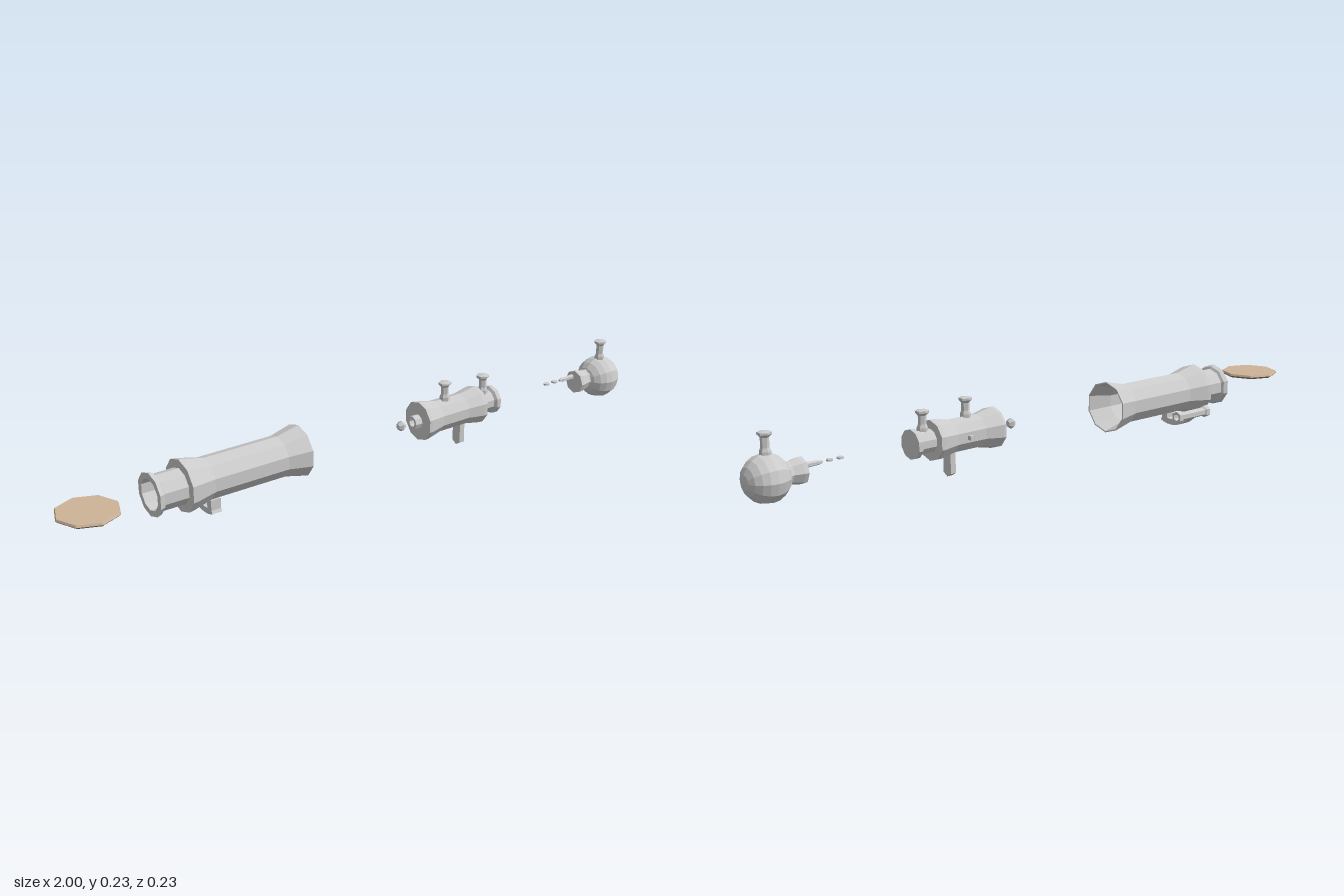
import * as THREE from 'three';

const grey = new THREE.MeshStandardMaterial({ color: 0xcccccc, flatShading: true, side: THREE.DoubleSide });
const tan = new THREE.MeshStandardMaterial({ color: 0xcdb398, flatShading: true });
const olive = new THREE.MeshStandardMaterial({ color: 0x8a8468, flatShading: true });
const black = new THREE.MeshStandardMaterial({ color: 0x222222, flatShading: true });

function add(parent, name, geometry, x, y, z, material = grey) {
  const mesh = new THREE.Mesh(geometry, material);
  mesh.name = name;
  mesh.position.set(x, y, z);
  parent.add(mesh);
  return mesh;
}

// Turned part along x; points are [x, radius], with a vertex on top
function turned(points, sides) {
  const profile = points.map(([x, r]) => new THREE.Vector2(r, x));
  return new THREE.LatheGeometry(profile, sides, -Math.PI / 2).rotateZ(-Math.PI / 2);
}

// Upright hexagonal stem with a flared foot and a mushroom cap
function knob(height) {
  const p = [[0, 0], [0.016, 0], [0.016, 0.012], [0.012, 0.022], [0.012, height - 0.017],
    [0.02, height - 0.009], [0.02, height - 0.003], [0, height]];
  return new THREE.LatheGeometry(p.map(([r, y]) => new THREE.Vector2(r, y)), 6);
}

// Flat plate drawn in (z, y) and given a thickness along x
function plate(shape, thickness) {
  return new THREE.ExtrudeGeometry(shape, { depth: thickness, bevelEnabled: false, curveSegments: 9 })
    .translate(0, 0, -thickness / 2).rotateY(-Math.PI / 2);
}

function createModel() {
  const model = new THREE.Group();
  model.name = 'explodedParts';

  // Octagonal lid with a perforated underside
  const lid = new THREE.Group();
  lid.name = 'lid';
  lid.position.set(-0.907, 0.132, -0.01);
  model.add(lid);
  add(lid, 'lidTop', new THREE.CylinderGeometry(0.09, 0.093, 0.006, 8), 0, 0.003, 0, tan);
  add(lid, 'lidUnderside', new THREE.CylinderGeometry(0.093, 0.086, 0.006, 8), 0, -0.003, 0, olive);
  const dot = new THREE.CylinderGeometry(0.008, 0.008, 0.002, 6);
  add(lid, 'lidHole', dot, 0, -0.0062, 0, black);
  for (let i = 0; i < 6; i++) {
    const a = i * Math.PI / 3;
    add(lid, 'lidHole', dot, 0.05 * Math.cos(a), -0.0062, 0.05 * Math.sin(a), black);
  }

  // Large hollow barrel: outer profile rightwards, then the bore back
  const barrel = new THREE.Group();
  barrel.name = 'barrel';
  barrel.position.set(0, 0.121, -0.022);
  model.add(barrel);
  add(barrel, 'barrelShell', turned([
    [-0.715, 0.048], [-0.715, 0.066], [-0.70, 0.062], [-0.695, 0.054], [-0.62, 0.054], [-0.62, 0.08],
    [-0.605, 0.078], [-0.54, 0.063], [-0.295, 0.063], [-0.222, 0.08], [-0.222, 0.076],
    [-0.295, 0.056], [-0.54, 0.054], [-0.62, 0.048], [-0.715, 0.048]], 10), 0, 0, 0);

  // Curved bracket under the barrel carrying a small hollow tube
  const arc = new THREE.Shape();
  const from = -0.7, to = -2.0;
  arc.absarc(0, 0, 0.104, from, to, true);
  arc.absarc(0, 0, 0.086, to, from, false);
  add(barrel, 'bracketArc', plate(arc, 0.032).scale(1, 1, -1), -0.53, 0, 0);
  add(barrel, 'bracketPost', new THREE.BoxGeometry(0.032, 0.04, 0.022), -0.53, -0.074, 0.028);
  add(barrel, 'sideTube', turned([
    [-0.07, 0.011], [-0.07, 0.019], [-0.056, 0.019], [-0.05, 0.014], [0.05, 0.014],
    [0.056, 0.019], [0.07, 0.019], [0.07, 0.011], [-0.07, 0.011]], 6), -0.53, -0.058, -0.076);

  // Small faceted nut
  add(model, 'nut', turned([[-0.012, 0], [-0.012, 0.009], [0, 0.017], [0.012, 0.009], [0.012, 0]], 6), 0.125, 0.121, 0.02);

  // Middle valve body with an open stub and a closed flanged neck
  const valve = new THREE.Group();
  valve.name = 'valveBody';
  valve.position.set(0, 0.121, 0.021);
  model.add(valve);
  add(valve, 'valveShell', turned([
    [0.19, 0], [0.19, 0.062], [0.2, 0.062], [0.255, 0.05], [0.355, 0.05], [0.41, 0.06], [0.422, 0.06],
    [0.422, 0.035], [0.47, 0.035], [0.476, 0.044], [0.49, 0.044], [0.49, 0]], 10), 0, 0, 0);
  add(valve, 'valveStub', turned([
    [0.166, 0.013], [0.166, 0.022], [0.195, 0.022], [0.195, 0.013], [0.166, 0.013]], 8), 0, 0, 0);
  add(valve, 'bodyKnob', knob(0.062), 0.292, 0.045, 0.002);
  add(valve, 'neckKnob', knob(0.064), 0.446, 0.03, 0.002);
  add(valve, 'rearPin', new THREE.BoxGeometry(0.012, 0.012, 0.02), 0.317, 0, -0.052);

  // Pointed blade hanging below the valve
  const blade = new THREE.Shape([[-0.017, 0], [-0.017, -0.068], [0, -0.078], [0.017, -0.068], [0.017, 0]]
    .map(([z, y]) => new THREE.Vector2(z, y)));
  add(valve, 'blade', plate(blade, 0.018), 0.352, -0.04, 0.002);

  // Ball with its knob and socket
  const ball = new THREE.Group();
  ball.name = 'ballEnd';
  ball.position.set(0.932, 0.103, 0.051);
  model.add(ball);
  add(ball, 'ball', new THREE.SphereGeometry(0.068, 12, 10).rotateZ(-Math.PI / 2), 0, 0, 0);
  add(ball, 'ballKnob', knob(0.067), -0.002, 0.061, 0.002);
  add(ball, 'ballSocket', turned([
    [-0.107, 0], [-0.107, 0.038], [-0.095, 0.038], [-0.066, 0.031], [-0.045, 0.036], [-0.045, 0]], 8), 0, 0.003, -0.003);

  // Thin tapered rod and two loose washers
  add(model, 'rod', turned([[0.768, 0], [0.768, 0.004], [0.78, 0.007], [0.83, 0.009], [0.83, 0]], 6), 0, 0.121, 0.037);
  for (const x of [0.712, 0.746]) {
    add(model, 'washer', new THREE.CylinderGeometry(0.01, 0.01, 0.005, 8), x, 0.122, 0.036);
  }
  return model;
}

export { createModel };
